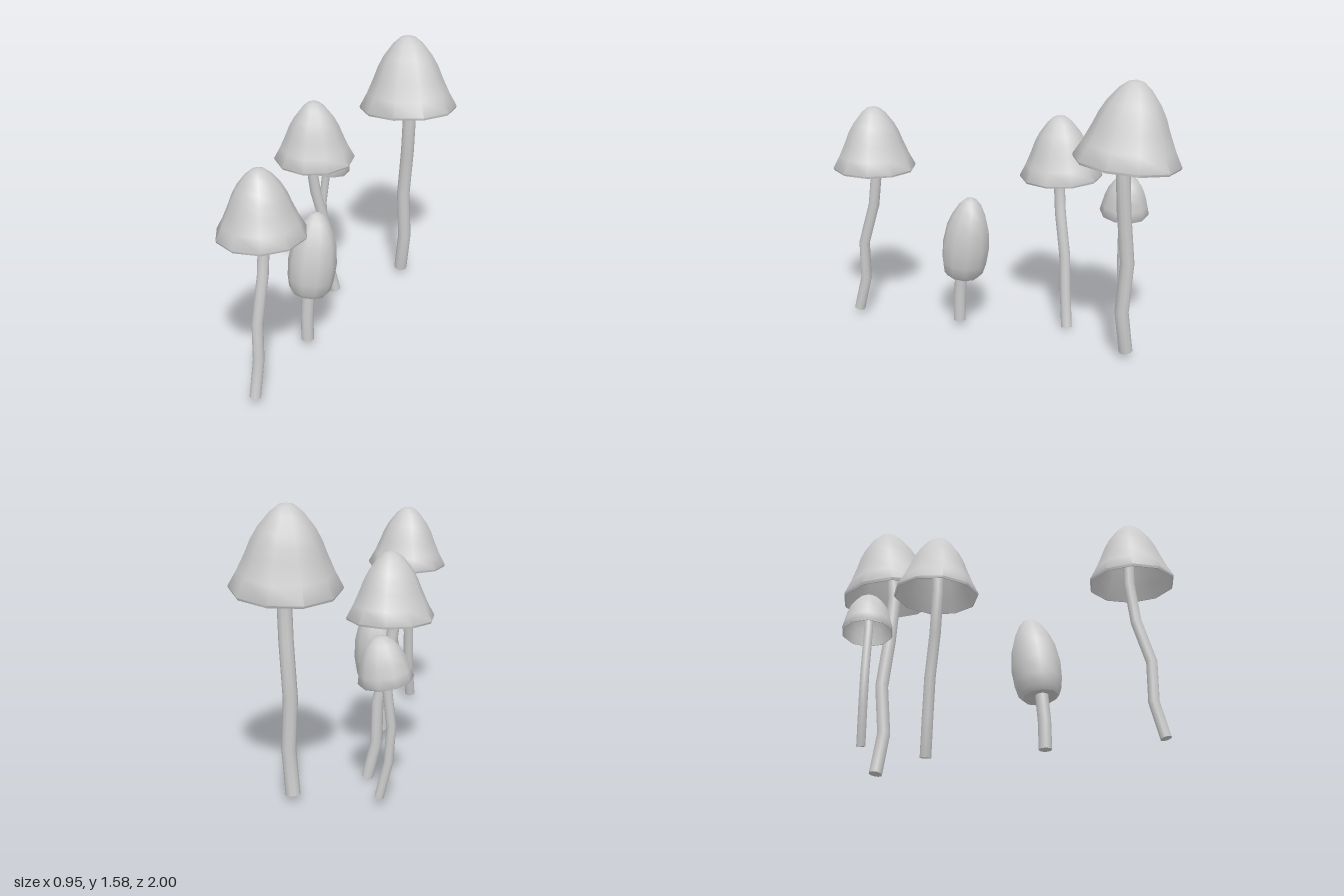
import * as THREE from 'three';
import { toCreasedNormals } from 'three/addons/utils/BufferGeometryUtils.js';

const SIDES = 10;
const UP = new THREE.Vector3(0, 1, 0);
const material = new THREE.MeshStandardMaterial({ color: 0xcccccc });

// Outer cap profiles [radius, height], rim to apex
const FLARED = [[0.284, -0.008], [0.29, 0.006], [0.245, 0.09], [0.203, 0.185], [0.178, 0.25], [0.143, 0.315], [0.085, 0.39], [0.045, 0.423], [0, 0.436]];
const ROUNDED = [[0.138, -0.006], [0.143, 0.004], [0.132, 0.05], [0.12, 0.1], [0.1, 0.155], [0.07, 0.2], [0.035, 0.228], [0, 0.236]];
const BUD = [[0, 0.015], [0.07, 0.004], [0.097, 0], [0.117, 0.025], [0.131, 0.09], [0.137, 0.19], [0.123, 0.3], [0.1, 0.37], [0.067, 0.435], [0.035, 0.472], [0, 0.484]];

// Hollow shell: inner wall down to the rim, then the outer wall up to the apex
function hollow(profile, wall) {
  const inner = profile.slice(1).map(([r, h]) => [Math.max(0, r - wall), h === profile[1][1] ? profile[0][1] : h - wall]);
  return [...inner.reverse(), ...profile];
}

function makeCap(profile, { at, axis, scale = 1, turn = 0 }) {
  const points = profile.map(([r, h]) => new THREE.Vector2(r * scale, h * scale));
  const lathe = new THREE.LatheGeometry(points, SIDES, THREE.MathUtils.degToRad(turn));
  const cap = new THREE.Mesh(toCreasedNormals(lathe, 0.95), material);
  cap.name = 'cap';
  cap.position.set(...at);
  cap.quaternion.setFromUnitVectors(UP, new THREE.Vector3(...axis).normalize());
  return cap;
}

// Bent stalk: a tube with one ring at each path point, closed at the foot
function makeStem(path, radius) {
  const curve = new THREE.CatmullRomCurve3(path.map((p) => new THREE.Vector3(...p)));
  curve.getPointAt = (t, target) => curve.getPoint(t, target);
  curve.getTangentAt = (t, target) => curve.getTangent(t, target);
  const stem = new THREE.Group();
  stem.name = 'stem';
  const stalk = new THREE.Mesh(new THREE.TubeGeometry(curve, path.length - 1, radius, SIDES), material);
  stalk.name = 'stalk';
  const foot = new THREE.Mesh(new THREE.CircleGeometry(radius, SIDES), material);
  foot.name = 'foot';
  foot.position.copy(curve.points[0]);
  foot.quaternion.setFromUnitVectors(new THREE.Vector3(0, 0, 1), curve.getTangent(0).negate());
  stem.add(stalk, foot);
  return stem;
}

const MUSHROOMS = [
  {
    name: 'tallMushroom', profile: hollow(FLARED, 0.012), radius: 0.039,
    cap: { at: [0.198, 1.15, -0.71], axis: [-0.055, 1, -0.08] },
    path: [[0.17, 0.042, -0.742], [0.199, 0.29, -0.714], [0.178, 0.57, -0.733], [0.204, 0.87, -0.707], [0.216, 1.15, -0.692], [0.205, 1.48, -0.72]],
  },
  {
    name: 'middleMushroom', profile: hollow(FLARED, 0.012), radius: 0.032,
    cap: { at: [-0.242, 0.914, -0.304], axis: [0.005, 1, 0.034], scale: 0.82, turn: 6 },
    path: [[-0.134, 0.013, -0.368], [-0.18, 0.22, -0.35], [-0.184, 0.45, -0.342], [-0.236, 0.69, -0.305], [-0.264, 0.92, -0.289], [-0.25, 1.18, -0.293]],
  },
  {
    name: 'frontMushroom', profile: hollow(FLARED, 0.012), radius: 0.031,
    cap: { at: [-0.092, 0.949, 0.763], axis: [-0.022, 1, 0], scale: 0.82, turn: -12 },
    path: [[-0.096, 0.045, 0.893], [-0.093, 0.25, 0.843], [-0.092, 0.475, 0.845], [-0.086, 0.72, 0.775], [-0.084, 0.95, 0.749], [-0.092, 1.22, 0.755]],
  },
  {
    name: 'smallMushroom', profile: hollow(ROUNDED, 0.008), radius: 0.025,
    cap: { at: [-0.307, 0.693, -0.668], axis: [0.13, 1, -0.05] },
    path: [[-0.277, 0.052, -0.68], [-0.323, 0.25, -0.665], [-0.335, 0.45, -0.66], [-0.306, 0.7, -0.663], [-0.285, 0.88, -0.672]],
  },
  {
    name: 'budMushroom', profile: BUD, radius: 0.036,
    cap: { at: [-0.056, 0.337, 0.24], axis: [0.06, 1, -0.13] },
    path: [[-0.06, 0.04, 0.262], [-0.062, 0.2, 0.26], [-0.056, 0.37, 0.245]],
  },
];

export function createModel() {
  const model = new THREE.Group();
  model.name = 'mushroomCluster';
  for (const { name, profile, cap, path, radius } of MUSHROOMS) {
    const mushroom = new THREE.Group();
    mushroom.name = name;
    mushroom.add(makeCap(profile, cap), makeStem(path, radius));
    model.add(mushroom);
  }
  return model;
}
